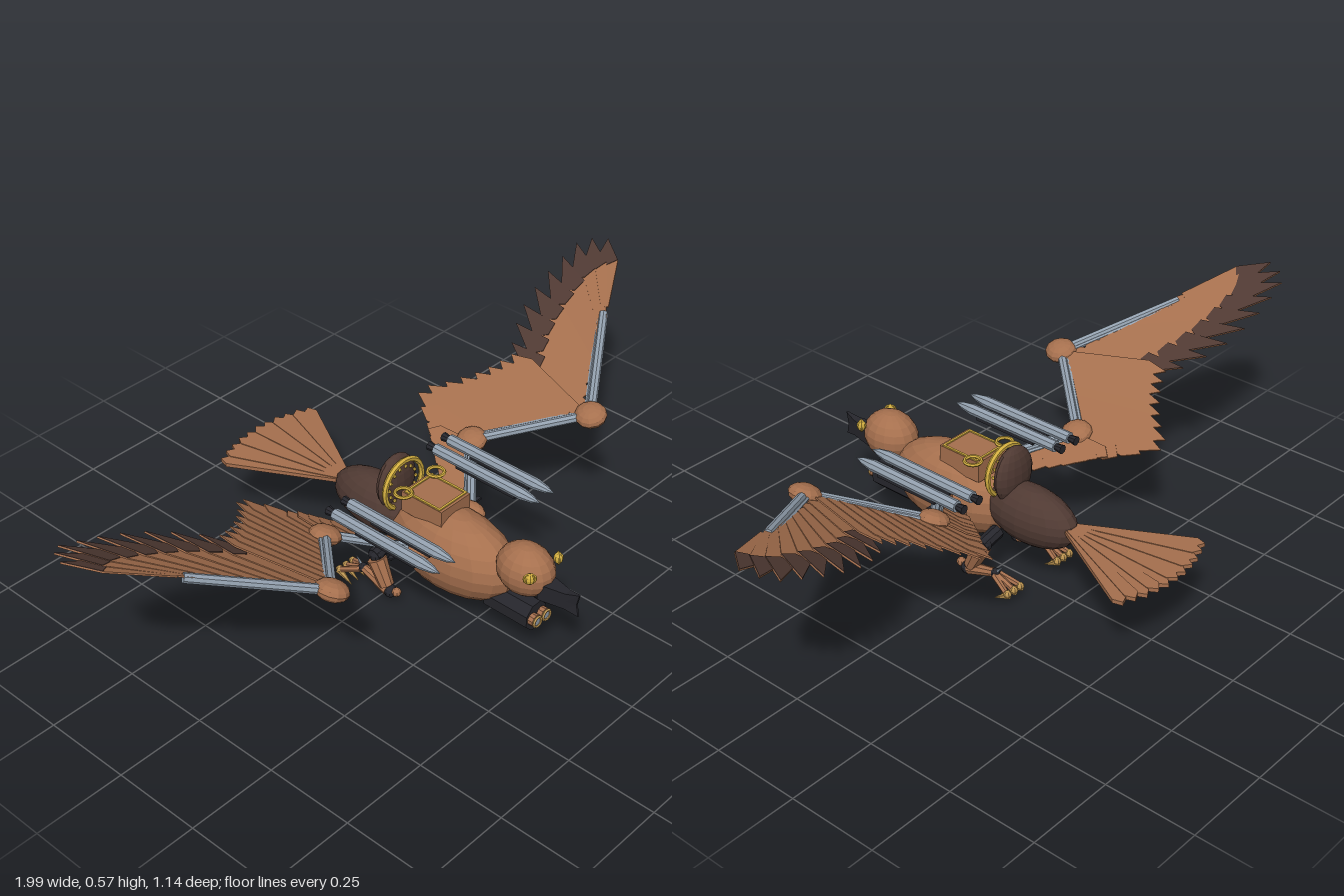
import * as THREE from 'three';

const mat = (name, color) => {
  const m = new THREE.MeshStandardMaterial({ color, flatShading: true });
  m.name = name;
  return m;
};
const V = (x, y, z) => new THREE.Vector3(x, y, z);

export function createModel() {
  const brown = mat('brown', 0xa6704e), dark = mat('dark brown', 0x503a33), black = mat('black metal', 0x26262c);
  const steel = mat('steel', 0x93a0ae), gold = mat('gold', 0xd2ae40), tan = mat('claw tan', 0xbd9552);
  const model = new THREE.Group();

  const add = (parent, name, geo, material, p = [0, 0, 0]) => {
    const m = new THREE.Mesh(geo, material);
    m.name = name;
    m.position.set(...p);
    parent.add(m);
    return m;
  };
  const ball = (parent, name, material, p, r, seg = 12) => {
    const g = new THREE.SphereGeometry(1, seg, Math.max(6, seg * 0.7 | 0));
    g.scale(...(Array.isArray(r) ? r : [r, r, r]));
    return add(parent, name, g, material, p);
  };
  // straight bar between two points
  const rod = (parent, name, material, a, b, r0, r1 = r0, sides = 8) => {
    const d = b.clone().sub(a);
    const m = add(parent, name, new THREE.CylinderGeometry(r1, r0, d.length(), sides), material);
    m.position.copy(a).addScaledVector(d, 0.5);
    m.quaternion.setFromUnitVectors(V(0, 1, 0), d.normalize());
    return m;
  };
  const slab = (pts, depth) => new THREE.ExtrudeGeometry(
    new THREE.Shape(pts.map(p => new THREE.Vector2(...p))), { depth, bevelEnabled: false }).rotateX(-Math.PI / 2);

  // body and head
  ball(model, 'body', brown, [0, 0.188, 0.165], [0.1, 0.12, 0.2], 18);
  ball(model, 'rearBody', dark, [0, 0.208, -0.1], [0.068, 0.083, 0.148], 18);
  ball(model, 'head', brown, [0, 0.25, 0.4], [0.066, 0.071, 0.082], 16);

  // beak: a vertical wedge flaring and splitting at its tip
  const beak = new THREE.BoxGeometry(0.055, 0.048, 0.11, 1, 2, 3);
  const bp = beak.attributes.position;
  for (let i = 0; i < bp.count; i++) {
    const t = (bp.getZ(i) + 0.055) / 0.11, y = bp.getY(i);
    bp.setX(i, bp.getX(i) * (1 - 0.9 * t));
    if (t > 0.9) {
      bp.setY(i, y * 1.38);
      if (Math.abs(y) < 0.001) bp.setZ(i, 0.048);
    }
  }
  beak.computeVertexNormals();
  add(model, 'beak', beak, black, [0, 0.223, 0.515]);

  for (const s of [1, -1]) {
    const eye = ball(model, 'eye', gold, [s * 0.056, 0.28, 0.457], [0.013, 0.016, 0.013], 8);
    const rim = add(eye, 'eyeRim', new THREE.TorusGeometry(0.015, 0.003, 5, 12), gold);
    rim.rotation.y = s * 0.8;
  }

  // underslung pod with two lenses
  const pod = new THREE.CylinderGeometry(0.042, 0.042, 0.14, 8).rotateY(Math.PI / 8).rotateX(Math.PI / 2);
  add(model, 'pod', pod, black, [0, 0.118, 0.37]);
  for (const s of [1, -1]) {
    rod(model, 'lensBarrel', brown, V(s * 0.018, 0.12, 0.43), V(s * 0.018, 0.12, 0.455), 0.017, 0.017, 10);
    rod(model, 'lens', steel, V(s * 0.018, 0.12, 0.45), V(s * 0.018, 0.12, 0.459), 0.012, 0.012, 10);
    add(model, 'lensRing', new THREE.TorusGeometry(0.014, 0.004, 5, 12), tan, [s * 0.018, 0.12, 0.459]);
  }

  // saddle with gold edging and hand rings
  add(model, 'saddle', new THREE.BoxGeometry(0.11, 0.06, 0.135), brown, [0, 0.303, 0.1]);
  for (const s of [1, -1]) {
    add(model, 'saddleTrimSide', new THREE.BoxGeometry(0.006, 0.005, 0.12), gold, [s * 0.05, 0.334, 0.1]);
    add(model, 'saddleTrimEnd', new THREE.BoxGeometry(0.106, 0.005, 0.006), gold, [0, 0.334, 0.1 + s * 0.057]);
    const ring = add(model, 'handRing', new THREE.TorusGeometry(0.022, 0.005, 6, 16), gold, [s * 0.062, 0.338, 0.045]);
    ring.rotation.x = Math.PI / 2;
  }
  // round seat back
  ball(model, 'seatBack', dark, [0, 0.305, -0.038], [0.068, 0.08, 0.03], 16);
  add(model, 'seatBackRing', new THREE.TorusGeometry(0.07, 0.008, 6, 24), gold, [0, 0.307, -0.012]);
  for (let i = 0; i < 14; i++) {
    const a = i / 14 * Math.PI * 2;
    ball(model, 'seatStud', gold, [Math.cos(a) * 0.05, 0.305 + Math.sin(a) * 0.05, -0.014], 0.005, 6);
  }

  // tail fan of overlapping narrow feathers
  const count = 11;
  for (let i = 0; i < count; i++) {
    const f = add(model, 'tailFeather', slab([[-0.004, 0], [0.004, 0], [0.019, 0.35], [0, 0.371], [-0.019, 0.35]], 0.011),
      brown, [0, 0.213 + (i % 2) * 0.002, -0.198]);
    f.rotation.y = (i / (count - 1) - 0.5) * 0.93;
  }

  // one wing feather in the wing plane, optionally with a dark plate over its tip
  const feather = (wing, name, base, tip, w, y, tipped, roll) => {
    const d = tip.clone().sub(base), L = d.length(), k = tipped ? 0.66 : 0.8;
    const f = new THREE.Group();
    f.name = name;
    add(f, 'vane', slab([[-w * 0.3, 0], [w * 0.3, 0], [w * 0.5, L * k], [0, L], [-w * 0.5, L * k]], 0.004), brown);
    if (tipped) add(f, 'darkTip', slab([[-w * 0.5, L * k], [0, L * (k - 0.06)], [w * 0.5, L * k], [0, L]], 0.002), dark, [0, 0.0035, 0]);
    f.position.set(base.x, y, base.z);
    f.rotation.order = 'YXZ';
    f.rotation.set(0, Math.atan2(-d.x, -d.z), roll);
    wing.add(f);
  };

  const slope = 0.377, stretch = Math.hypot(1, slope);
  for (const s of [1, -1]) {
    const wing = new THREE.Group();
    wing.name = s > 0 ? 'leftWing' : 'rightWing';
    wing.position.y = 0.19;
    wing.rotation.z = s * Math.atan(slope);
    model.add(wing);
    const P = (x, z, y = 0) => V(s * x * stretch, y, z);
    const row = (name, n, a, b, tips, w, tipped, y0) => {
      const curve = new THREE.CatmullRomCurve3(tips.map(t => P(...t)));
      for (let i = 0; i < n; i++) {
        const t = i / (n - 1);
        feather(wing, name, a.clone().lerp(b, t), curve.getPoint(t), w, y0 - 0.001 * i, tipped, s * 0.09);
      }
    };
    const shoulder = P(0.105, 0.13), elbow = P(0.28, -0.02), wrist = P(0.492, 0.212), hand = P(0.78, 0.025);
    row('primaryFeather', 9, P(0.79, 0.01), P(0.5, 0.18),
      [[0.998, -0.13], [0.965, -0.195], [0.88, -0.21], [0.78, -0.21], [0.68, -0.19], [0.585, -0.14]], 0.07, true, 0.003);
    row('secondaryFeather', 10, P(0.48, 0.18), P(0.275, -0.02),
      [[0.55, -0.11], [0.48, -0.145], [0.41, -0.2], [0.34, -0.264], [0.265, -0.17]], 0.056, false, 0.002);
    row('innerFeather', 7, P(0.265, -0.01), P(0.12, 0.12),
      [[0.25, -0.15], [0.2, -0.085], [0.13, 0.02]], 0.045, false, -0.002);

    // arm struts, each with a thinner rod alongside
    for (const [a, b] of [[shoulder, elbow], [elbow, wrist], [wrist, hand]]) {
      rod(wing, 'strut', steel, a, b, 0.013);
      const off = b.clone().sub(a).normalize().cross(V(0, s, 0)).multiplyScalar(-0.014);
      rod(wing, 'thinRod', steel, a.clone().add(off), b.clone().add(off), 0.006, 0.006, 6);
    }
    ball(wing, 'shoulderJoint', brown, shoulder.toArray(), [0.029, 0.026, 0.045]);
    ball(wing, 'elbowJoint', brown, elbow.toArray(), [0.042, 0.024, 0.044]);
    ball(wing, 'wristJoint', brown, wrist.toArray(), [0.042, 0.026, 0.046]);

    // pointed steel tubes on a rail
    const profile = [[0, -0.045], [0.016, -0.045], [0.016, 0.25], [0.01, 0.285], [0, 0.31]].map(p => new THREE.Vector2(...p));
    for (const x of [0.163, 0.22]) {
      add(model, 'steelTube', new THREE.LatheGeometry(profile, 8).rotateX(Math.PI / 2), steel, [s * x, 0.314, 0]);
      rod(model, 'tubeNozzle', black, V(s * x, 0.314, -0.043), V(s * x, 0.314, -0.068), 0.009, 0.013);
      add(model, 'tubeRail', new THREE.BoxGeometry(0.012, 0.012, 0.2), black, [s * x, 0.296, 0.13]);
    }
    add(model, 'sideBar', new THREE.BoxGeometry(0.09, 0.006, 0.012), black, [s * 0.13, 0.22, 0.1]);

    // folded leg
    const leg = new THREE.Group();
    leg.name = s > 0 ? 'leftLeg' : 'rightLeg';
    model.add(leg);
    const Q = (y, z, x = 0.1) => V(s * x, y, z);
    rod(leg, 'hip', black, Q(0.14, -0.02, 0.04), Q(0.125, -0.02, 0.105), 0.02);
    ball(leg, 'hipJoint', black, [s * 0.095, 0.125, -0.02], 0.022, 10);
    rod(leg, 'thigh', brown, Q(0.115, -0.015), Q(0.045, 0.02), 0.027, 0.02);
    ball(leg, 'knee', black, [s * 0.1, 0.032, 0.033], 0.018, 10);
    ball(leg, 'kneeCap', brown, [s * 0.1, 0.04, 0.055], 0.013, 8);
    rod(leg, 'shank', brown, Q(0.034, 0.025), Q(0.058, -0.06), 0.018, 0.012);
    ball(leg, 'ankle', black, [s * 0.1, 0.058, -0.065], 0.014, 8);
    rod(leg, 'spur', steel, Q(0.06, -0.066), Q(0.085, -0.088), 0.006, 0.001, 6);
    for (const t of [-1, 0, 1]) {
      const x = 0.1 + t * 0.025;
      rod(leg, 'toe', brown, Q(0.056, -0.068, 0.1 + t * 0.008), Q(0.036, -0.122, x), 0.009, 0.008, 6);
      ball(leg, 'toeJoint', tan, [s * x, 0.033, -0.128], 0.011, 6);
      rod(leg, 'claw', tan, Q(0.031, -0.131, x), Q(0.003, -0.085, x), 0.011, 0.001, 6);
    }
  }
  return model;
}
